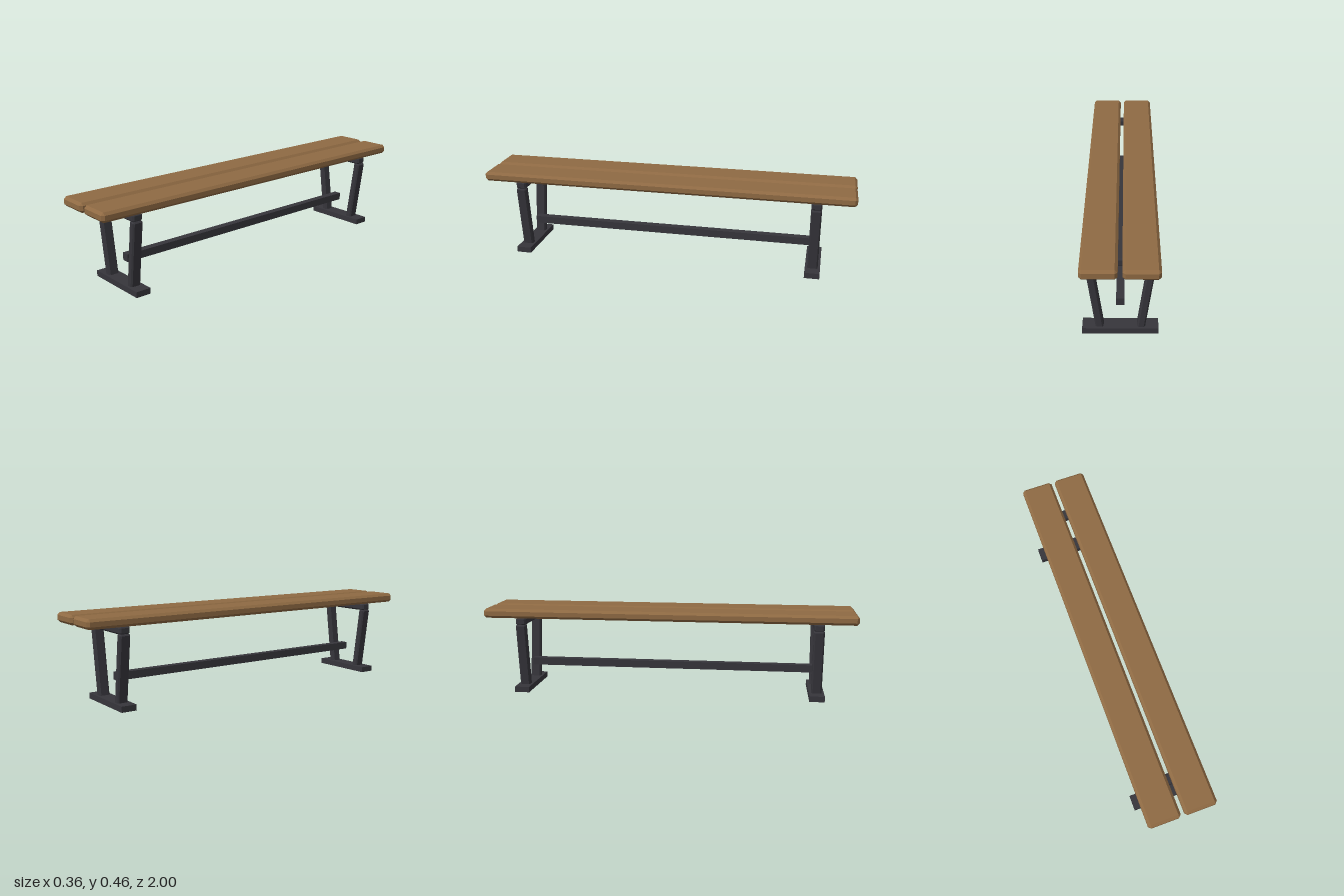
import * as THREE from 'three';
import { ConvexGeometry } from 'three/addons/geometries/ConvexGeometry.js';

const wood = new THREE.MeshStandardMaterial({ color: 0x8f6a43 });
wood.name = 'wood';
const metal = new THREE.MeshStandardMaterial({ color: 0x36353b });
metal.name = 'darkMetal';

// Box with every edge cut by a flat bevel c
function bevelBox(w, h, d, c) {
  const x = w / 2, y = h / 2, z = d / 2, points = [];
  for (const sx of [-1, 1]) for (const sy of [-1, 1]) for (const sz of [-1, 1]) {
    points.push(
      new THREE.Vector3(sx * x, sy * (y - c), sz * (z - c)),
      new THREE.Vector3(sx * (x - c), sy * y, sz * (z - c)),
      new THREE.Vector3(sx * (x - c), sy * (y - c), sz * z));
  }
  return new ConvexGeometry(points);
}

function part(parent, name, geometry, material, x, y, z) {
  const mesh = new THREE.Mesh(geometry, material);
  mesh.name = name;
  mesh.position.set(x, y, z);
  parent.add(mesh);
  return mesh;
}

export function createModel() {
  const bench = new THREE.Group();
  bench.name = 'bench';

  // Two seat planks with a narrow gap
  const plank = bevelBox(0.17, 0.05, 2, 0.013);
  for (const s of [-1, 1]) part(bench, s > 0 ? 'leftPlank' : 'rightPlank', plank, wood, s * 0.095, 0.435, 0);

  // End frames: foot, two splayed legs and a top rail
  const foot = new THREE.BoxGeometry(0.36, 0.03, 0.08);
  const rail = bevelBox(0.32, 0.04, 0.055, 0.008);
  const bottom = new THREE.Vector2(0.0955, 0.012), top = new THREE.Vector2(0.1455, 0.374);
  const axis = top.clone().sub(bottom);
  const leg = bevelBox(0.038, axis.length(), 0.055, 0.007);
  for (const end of [-1, 1]) {
    const frame = new THREE.Group();
    frame.name = end > 0 ? 'frontFrame' : 'backFrame';
    frame.position.z = end * 0.8;
    part(frame, 'foot', foot, metal, 0, 0.015, 0);
    part(frame, 'topRail', rail, metal, 0, 0.39, 0);
    for (const s of [-1, 1]) {
      const mesh = part(frame, s > 0 ? 'leftLeg' : 'rightLeg', leg, metal,
        s * (bottom.x + top.x) / 2, (bottom.y + top.y) / 2, 0);
      mesh.rotation.z = -s * Math.atan2(axis.x, axis.y);
    }
    bench.add(frame);
  }

  // Long stretcher bar between the frames
  part(bench, 'stretcher', new THREE.BoxGeometry(0.04, 0.04, 1.56), metal, 0, 0.14, 0);

  return bench;
}
